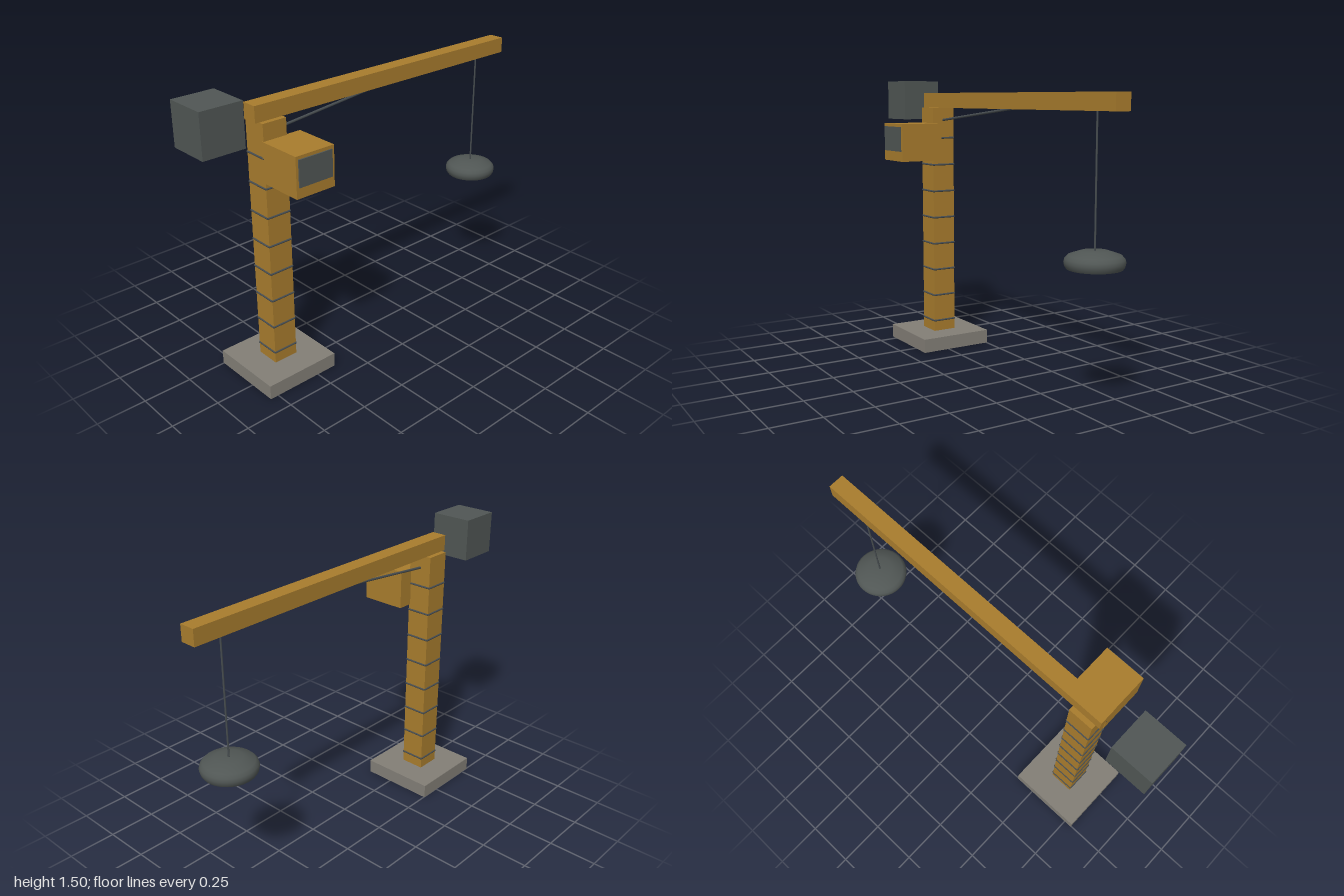
import * as THREE from 'three';
import { toCreasedNormals } from 'three/addons/utils/BufferGeometryUtils.js';

export function createModel() {
  const crane = new THREE.Group();
  crane.name = 'towerCrane';

  const material = (name, color) => {
    const m = new THREE.MeshStandardMaterial({ color });
    m.name = name;
    return m;
  };
  const yellow = material('craneYellow', 0xa87c2d);
  const concrete = material('concreteGrey', 0x827e76);
  const slate = material('slateGrey', 0x505654);
  const steel = material('darkSteel', 0x474d50);

  const add = (name, geometry, mat) => {
    const mesh = new THREE.Mesh(geometry, mat);
    mesh.name = name;
    crane.add(mesh);
    return mesh;
  };
  const box = (name, mat, size, center) =>
    add(name, new THREE.BoxGeometry(...size), mat).position.set(...center);

  // Round bar between two points
  const rod = (name, mat, from, to, radius) => {
    const a = new THREE.Vector3(...from);
    const b = new THREE.Vector3(...to);
    const mesh = add(name, new THREE.CylinderGeometry(radius, radius, a.distanceTo(b), 8), mat);
    mesh.position.copy(a).add(b).multiplyScalar(0.5);
    mesh.quaternion.setFromUnitVectors(new THREE.Vector3(0, 1, 0), b.sub(a).normalize());
  };

  const mastX = -0.592, midZ = -0.051, half = 0.065;

  // Footing, mast, jib and counterweight
  box('base', concrete, [0.405, 0.075, 0.405], [mastX, 0.0375, midZ]);
  box('mast', yellow, [0.13, 1.27, 0.13], [mastX, 0.71, midZ]);
  box('jib', yellow, [1.675, 0.081, 0.081], [0.158, 1.386, midZ]);
  box('counterweight', slate, [0.218, 0.218, 0.218], [-0.891, 1.386, midZ]);

  // Operator cab with its front window
  box('cab', yellow, [0.216, 0.202, 0.24], [-0.553, 1.16, 0.126]);
  box('cabWindow', slate, [0.188, 0.132, 0.008], [-0.554, 1.179, 0.249]);

  // Bars around the mast at even heights
  for (let i = 0; i < 8; i++) {
    const y = 0.135 + i * 0.149;
    for (const s of [-1, 1]) {
      rod('mastBar', steel, [mastX - half, y, midZ + s * half], [mastX + half, y, midZ + s * half], 0.0052);
      rod('mastBar', steel, [mastX + s * half, y, midZ - half], [mastX + s * half, y, midZ + half], 0.0052);
    }
  }

  // Brace from mast to jib, and the hoist cable
  rod('jibBrace', steel, [mastX + half - 0.01, 1.277, midZ], [0.19, 1.35, midZ], 0.0065);
  rod('hoistCable', steel, [0.827, 0.73, midZ], [0.827, 1.35, midZ], 0.0045);

  // Hanging round load: flat underneath, rounded rim, low crown
  const profile = [
    [0, 0.657], [0.126, 0.657], [0.134, 0.669], [0.138, 0.687],
    [0.134, 0.703], [0.12, 0.718], [0.065, 0.737], [0, 0.738],
  ].map(([r, y]) => new THREE.Vector2(r, y));
  const load = add('load', toCreasedNormals(new THREE.LatheGeometry(profile, 40), 0.7), slate);
  load.position.set(0.827, 0, midZ);

  return crane;
}
